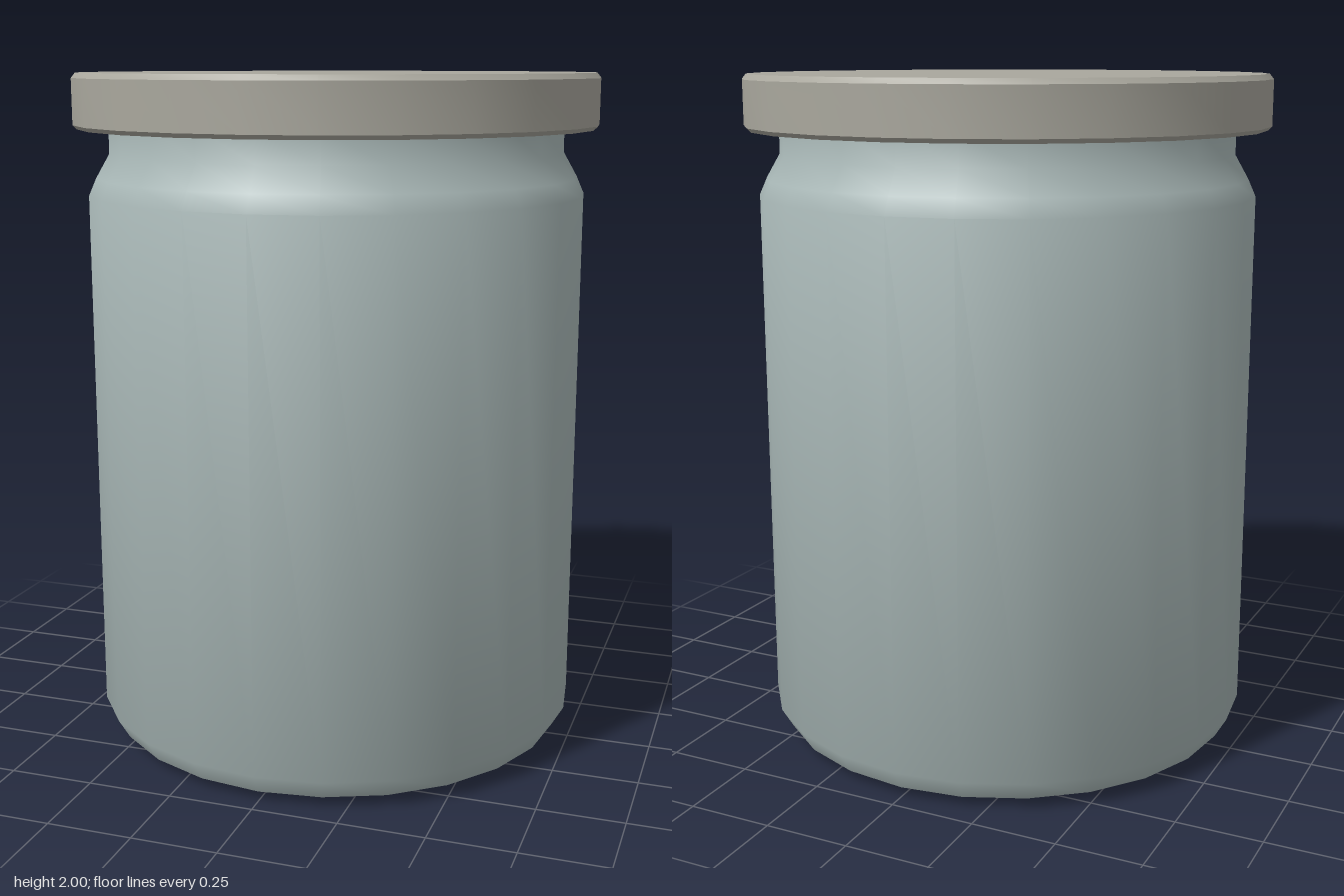
import * as THREE from 'three';
import { toCreasedNormals } from 'three/addons/utils/BufferGeometryUtils.js';

const SIDES = 24;

// Revolve a profile of [radius, height] points, listed bottom to top
function turned(name, color, profile) {
  const points = profile.map(([r, y]) => new THREE.Vector2(r, y));
  const geometry = toCreasedNormals(new THREE.LatheGeometry(points, SIDES), 0.6);
  const mesh = new THREE.Mesh(geometry, new THREE.MeshStandardMaterial({ color }));
  mesh.name = name;
  return mesh;
}

export function createModel() {
  const model = new THREE.Group();
  model.name = 'jar';

  // Body: chamfered base, straight wall, rounded shoulder and neck under the lid
  model.add(turned('body', 0xa9b8b7, [
    [0, 0], [0.63, 0], [0.70, 0.03], [0.735, 0.09],
    [0.735, 1.65], [0.713, 1.70], [0.673, 1.77], [0.673, 1.86],
  ]));

  // Lid: flat disc with fine bevels on both rims
  model.add(turned('lid', 0xa9a79d, [
    [0, 1.84], [0.763, 1.84], [0.775, 1.852],
    [0.775, 1.985], [0.763, 2], [0, 2],
  ]));

  return model;
}
